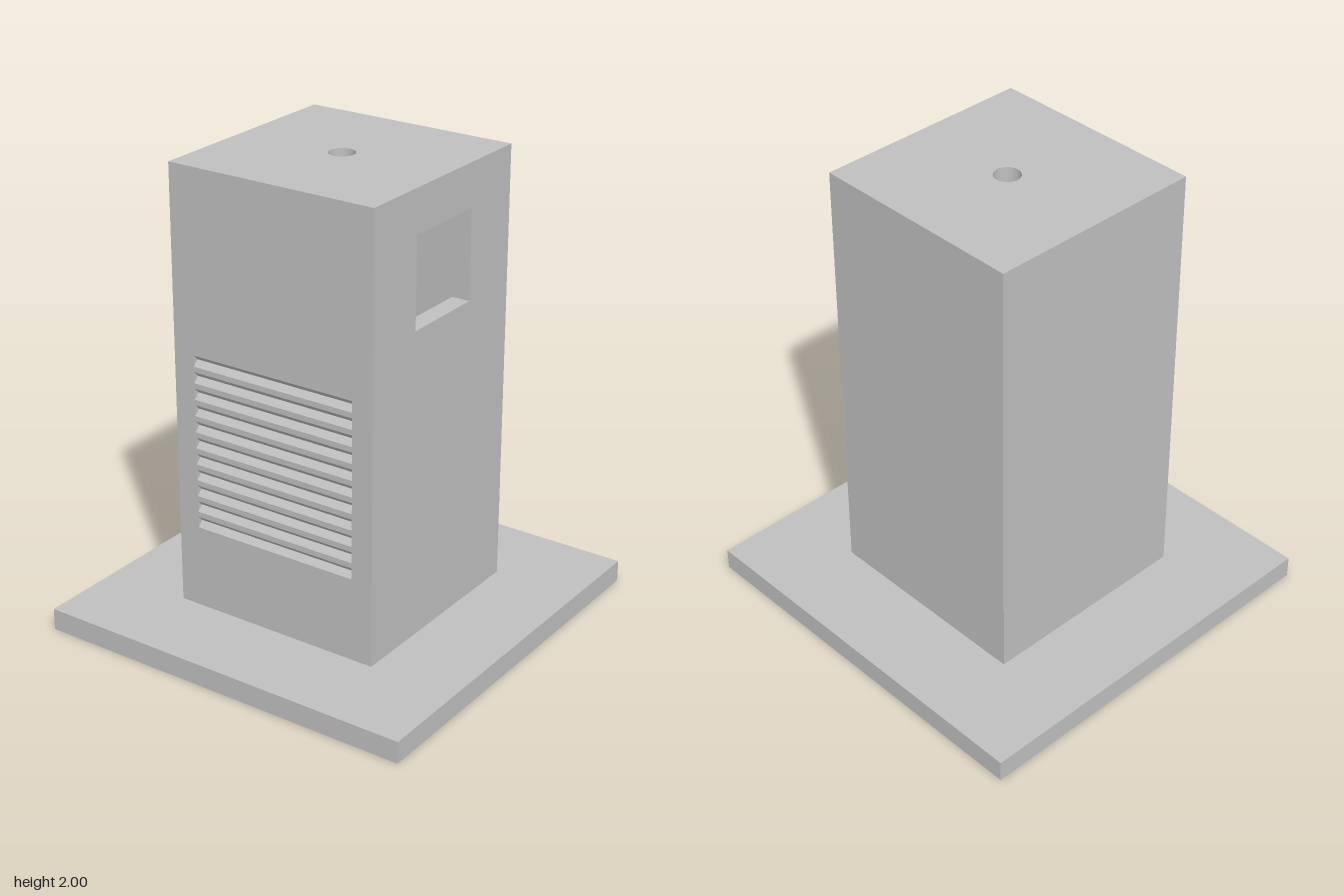
import * as THREE from 'three';

const BASE = 1.714, BASE_H = 0.095;   // base plate
const BODY = 0.952, TOP = 2, WALL = 0.08; // hollow tower
const H = BODY / 2;

const rect = (Ctor, x0, y0, x1, y1) => {
  const s = new Ctor();
  s.moveTo(x0, y0);
  s.lineTo(x1, y0);
  s.lineTo(x1, y1);
  s.lineTo(x0, y1);
  s.closePath();
  return s;
};

export function createModel() {
  const group = new THREE.Group();
  const grey = new THREE.MeshStandardMaterial({ color: 0xbfbfbf });
  grey.name = 'grey';

  const add = (name, geometry, x = 0, y = 0, z = 0) => {
    const mesh = new THREE.Mesh(geometry, grey);
    mesh.name = name;
    mesh.position.set(x, y, z);
    group.add(mesh);
    return mesh;
  };
  const extrude = (shape, depth) =>
    new THREE.ExtrudeGeometry(shape, { depth, bevelEnabled: false, curveSegments: 24 });
  // horizontal plate with its underside at y = 0
  const plate = (shape, depth) => extrude(shape, depth).rotateX(-Math.PI / 2);

  // base plate with a rectangular opening underneath
  const base = rect(THREE.Shape, -BASE / 2, -BASE / 2, BASE / 2, BASE / 2);
  base.holes.push(rect(THREE.Path, -0.238, -0.143, 0.238, 0.143));
  add('basePlate', plate(base, BASE_H));

  // roof with a round hole
  const roof = rect(THREE.Shape, -H, -H, H, H);
  const hole = new THREE.Path();
  hole.absarc(0, 0, 0.055, 0, Math.PI * 2, true);
  roof.holes.push(hole);
  add('roof', plate(roof, WALL), 0, TOP - WALL);

  // plain back and left-out walls
  const wallTop = TOP - WALL, wallH = wallTop - BASE_H, midY = (wallTop + BASE_H) / 2;
  const inner = BODY - 2 * WALL;
  add('backWall', new THREE.BoxGeometry(BODY, wallH, WALL), 0, midY, -H + WALL / 2);
  add('plainSideWall', new THREE.BoxGeometry(WALL, wallH, inner), -H + WALL / 2, midY, 0);

  // side wall with a square window
  const side = rect(THREE.Shape, -inner / 2, BASE_H, inner / 2, wallTop);
  side.holes.push(rect(THREE.Path, -0.192, 1.429, 0.192, 1.814));
  add('windowSideWall', extrude(side, WALL).rotateY(Math.PI / 2), H - WALL);

  // front wall: grooved middle section between two plain strips
  const slotW = 0.762, slotH = 0.048, pitch = 0.0714, slotBottom = 0.457;
  const profile = new THREE.Shape();
  profile.moveTo(-H + WALL, BASE_H); // x of the profile is -z
  profile.lineTo(-H, BASE_H);
  for (let i = 0; i < 11; i++) {
    const y = slotBottom + i * pitch;
    profile.lineTo(-H, y);
    profile.lineTo(-H + slotH / 2, y + slotH / 2);
    profile.lineTo(-H, y + slotH);
  }
  profile.lineTo(-H, wallTop);
  profile.lineTo(-H + WALL, wallTop);
  profile.closePath();
  add('louveredFrontWall', extrude(profile, slotW).rotateY(Math.PI / 2), -slotW / 2);

  const stripW = (BODY - slotW) / 2;
  for (const s of [-1, 1]) {
    add('frontWallStrip', new THREE.BoxGeometry(stripW, wallH, WALL),
      s * (H - stripW / 2), midY, H - WALL / 2);
  }
  return group;
}
